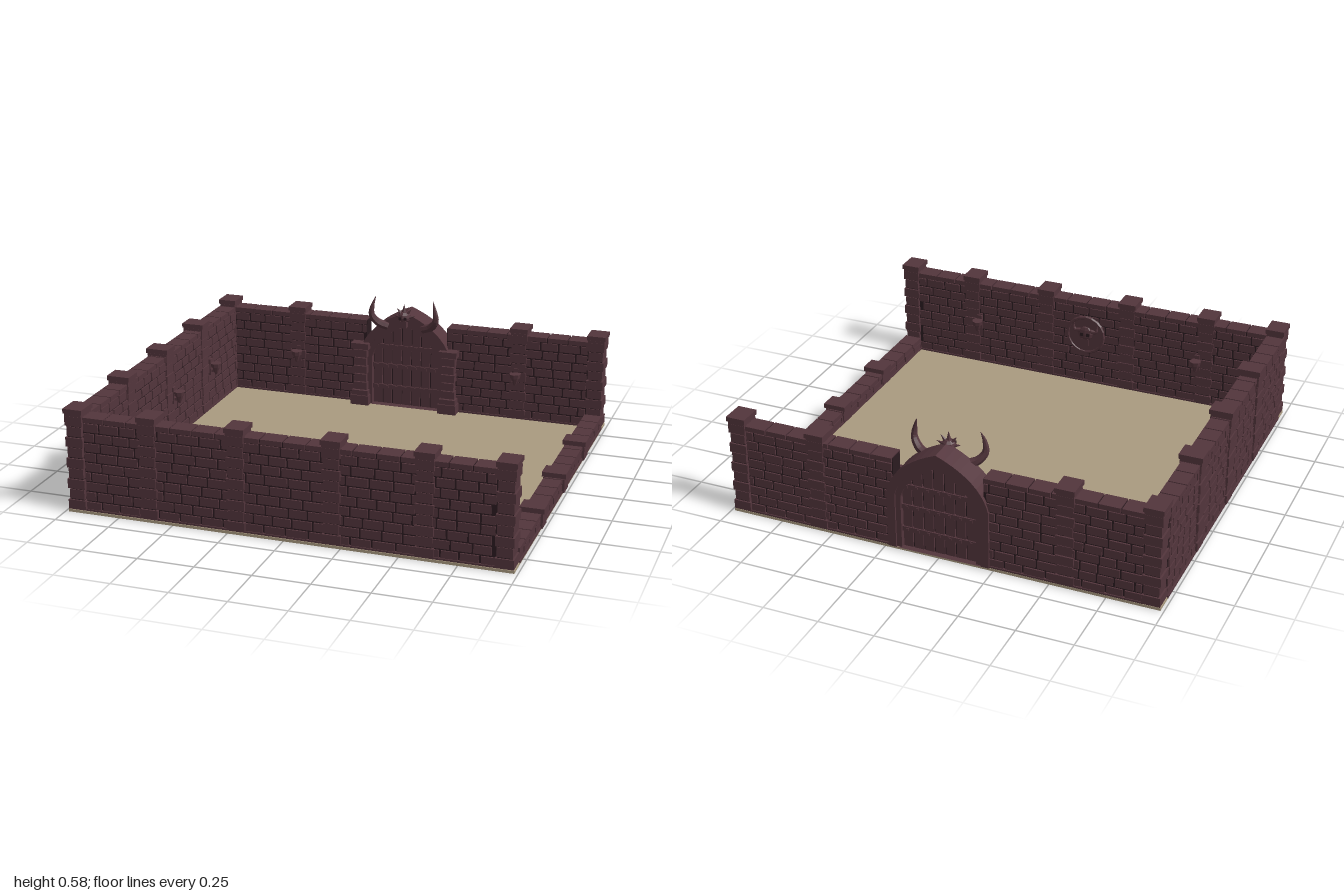
import * as THREE from 'three';
import { mergeGeometries } from 'three/addons/utils/BufferGeometryUtils.js';

const stone = new THREE.MeshStandardMaterial({ color: 0x53353c, flatShading: true });
stone.name = 'stone';
const mortar = new THREE.MeshStandardMaterial({ color: 0x2b1b20 });
mortar.name = 'mortar';
const sand = new THREE.MeshStandardMaterial({ color: 0xaa9a80 });
sand.name = 'sand';

let seed = 7;
const rnd = () => (seed = (seed * 16807) % 2147483647) / 2147483647;

// box given by its centre in x and z, and its bottom and top
const box = (w, d, y0, y1, x = 0, z = 0) =>
  new THREE.BoxGeometry(w, y1 - y0, d).translate(x, (y0 + y1) / 2, z);

function add(parent, name, geos, mat = stone) {
  const list = [].concat(geos);
  const mesh = new THREE.Mesh(list.length > 1 ? mergeGeometries(list) : list[0], mat);
  mesh.name = name;
  parent.add(mesh);
  return mesh;
}

function group(parent, name, x = 0, y = 0, z = 0, turn = 0) {
  const g = new THREE.Group();
  g.name = name;
  g.position.set(x, y, z);
  g.rotation.y = turn;
  parent.add(g);
  return g;
}

// one run of brickwork along x, from x0 to x1
function wallRun(parent, x0, x1, height) {
  const bricks = [], coping = [];
  const rows = Math.max(1, Math.round((height - 0.035) / 0.045));
  const rowH = (height - 0.035) / rows, len = x1 - x0, mid = (x0 + x1) / 2;
  add(parent, 'mortarCore', box(len, 0.066, 0.01, height - 0.004, mid), mortar);
  for (let r = 0; r < rows; r++) {
    const y = 0.012 + r * rowH;
    let x = x0 - (r % 2 ? 0.045 : 0);
    while (x < x1 - 0.01) {
      const w = 0.075 + rnd() * 0.03;
      const a = Math.max(x, x0), b = Math.min(x + w, x1);
      if (b - a > 0.02) bricks.push(box(b - a - 0.009, 0.077 + rnd() * 0.005, y + 0.004, y + rowH - 0.004, (a + b) / 2));
      x += w;
    }
  }
  const n = Math.round(len / 0.098);
  for (let i = 0; i < n; i++)
    coping.push(box(len / n - 0.006, 0.083, height - 0.022, height, x0 + (i + 0.5) * len / n));
  add(parent, 'bricks', bricks);
  add(parent, 'copingStones', coping);
  add(parent, 'plinth', box(len, 0.088, 0.008, 0.02, mid));
}

// pillar of alternating wide and narrow blocks under a stepped cap
function pillar(parent, name, x, z, turn = 0) {
  const g = group(parent, name, x, 0, z, turn), blocks = [];
  for (let i = 0; i < 9; i++) {
    const y = 0.012 + i * 0.0475, wide = i % 2 === 0;
    blocks.push(box(wide ? 0.08 : 0.068, wide ? 0.096 : 0.088, y + 0.003, y + 0.0455));
  }
  add(g, 'joints', box(0.062, 0.08, 0.01, 0.44), mortar);
  add(g, 'blocks', blocks);
  add(g, 'cap', [box(0.078, 0.096, 0.438, 0.449), box(0.088, 0.106, 0.451, 0.472)]);
}

function curbPost(parent, x, z) {
  add(parent, 'curbPost', [box(0.096, 0.076, 0.01, 0.075, x, z), box(0.108, 0.085, 0.078, 0.1, x, z)]);
}

// wall bracket with a bowl, reaching out along local +z
function torch(parent, x, z, turn) {
  const g = group(parent, 'torch', x, 0, z, turn);
  add(g, 'bracket', [box(0.026, 0.01, 0.19, 0.27, 0, 0.004), box(0.012, 0.035, 0.205, 0.218, 0, 0.017)]);
  const cup = (rt, rb, y0, y1) => new THREE.CylinderGeometry(rt, rb, y1 - y0, 8).translate(0, (y0 + y1) / 2, 0.032);
  add(g, 'bowl', [cup(0.02, 0.006, 0.195, 0.232), cup(0.028, 0.024, 0.232, 0.252)]);
}

// tapered tube that runs along the given points to a sharp tip
function hornGeometry(points, radius) {
  const curve = new THREE.CatmullRomCurve3(points.map(p => new THREE.Vector3(...p)));
  const segs = 14, sides = 7, geo = new THREE.TubeGeometry(curve, segs, radius, sides);
  const pos = geo.attributes.position, v = new THREE.Vector3();
  for (let i = 0; i < pos.count; i++) {
    const t = Math.floor(i / (sides + 1)) / segs, c = curve.getPointAt(t);
    v.fromBufferAttribute(pos, i).sub(c).multiplyScalar(1 - 0.97 * t * t).add(c);
    pos.setXYZ(i, v.x, v.y, v.z);
  }
  geo.computeVertexNormals();
  return geo;
}

// pointed arch outline with given half width, spring height and peak
function archPath(p, w, spring, peak) {
  p.moveTo(-w, 0.012);
  p.lineTo(w, 0.012);
  p.lineTo(w, spring);
  p.quadraticCurveTo(w * 0.87, peak - 0.08, 0, peak);
  p.quadraticCurveTo(-w * 0.87, peak - 0.08, -w, spring);
  p.closePath();
  return p;
}
const extrude = (shape, z0, z1) =>
  new THREE.ExtrudeGeometry(shape, { depth: z1 - z0, bevelEnabled: false, curveSegments: 10 }).translate(0, 0, z0);

function buildGate(root) {
  const g = group(root, 'gate');
  const ring = (w, s, p, w2, s2, p2) => {
    const shape = archPath(new THREE.Shape(), w, s, p);
    shape.holes.push(archPath(new THREE.Path(), w2, s2, p2));
    return shape;
  };
  add(g, 'outerArch', extrude(ring(0.232, 0.28, 0.502, 0.195, 0.27, 0.462), -0.905, -0.79));
  add(g, 'innerArch', extrude(ring(0.197, 0.272, 0.464, 0.172, 0.26, 0.435), -0.896, -0.80));
  add(g, 'doorCore', extrude(archPath(new THREE.Shape(), 0.18, 0.265, 0.445), -0.873, -0.832), mortar);

  // planks follow the arch; bands and studs sit on both faces
  const planks = [], bands = [];
  for (let i = -3; i <= 3; i++) {
    const x = i * 0.049;
    planks.push(box(0.042, 0.058, 0.014, 0.425 - Math.pow(Math.abs(x) / 0.17, 1.5) * 0.10, x, -0.852));
  }
  for (const y of [0.09, 0.20, 0.30]) {
    bands.push(box(0.345, 0.07, y, y + 0.022, 0, -0.852));
    for (let i = -3; i <= 3; i++) bands.push(box(0.012, 0.078, y + 0.005, y + 0.017, i * 0.049, -0.852));
  }
  add(g, 'planks', planks);
  add(g, 'bands', bands);

  for (const s of [-1, 1]) {
    // side columns
    const col = [box(0.092, 0.06, 0.01, 0.06, s * 0.225, -0.788), box(0.082, 0.05, 0.06, 0.085, s * 0.225, -0.79)];
    for (let i = 0; i < 5; i++) col.push(box(i % 2 ? 0.06 : 0.068, 0.04, 0.088 + i * 0.042, 0.126 + i * 0.042, s * 0.225, -0.793));
    col.push(box(0.09, 0.056, 0.30, 0.33, s * 0.225, -0.79));
    add(g, 'column', col);
    add(g, 'horn', hornGeometry([[s * 0.09, 0.425, -0.795], [s * 0.135, 0.445, -0.78], [s * 0.163, 0.485, -0.765],
      [s * 0.158, 0.535, -0.765], [s * 0.145, 0.578, -0.775]], 0.021));
  }

  // skull with a crown of spikes
  const skull = group(g, 'skull', 0, 0.485, -0.775);
  add(skull, 'head', new THREE.SphereGeometry(0.032, 8, 6).scale(1, 0.9, 1));
  add(skull, 'jaw', box(0.034, 0.035, -0.05, -0.015, 0, 0.008));
  const spikes = [[0, 0.045, 0], [0.024, 0.028, -0.7], [-0.024, 0.028, 0.7], [0.036, 0.004, -1.3], [-0.036, 0.004, 1.3]];
  add(skull, 'crownSpikes', spikes.map(([x, y, a]) =>
    new THREE.ConeGeometry(0.012, 0.042, 5).rotateZ(a).translate(x, y, 0)));
  for (const s of [-1, 1]) add(skull, 'eye', box(0.013, 0.006, -0.006, 0.006, s * 0.013, 0.03), mortar);
}

// round carved shield on the inner face of the front wall
function buildMedallion(root) {
  const g = group(root, 'medallion', 0, 0.27, 0.811, Math.PI);
  add(g, 'disc', new THREE.CylinderGeometry(0.092, 0.098, 0.012, 20).rotateX(Math.PI / 2).translate(0, 0, 0.003));
  add(g, 'rim', new THREE.TorusGeometry(0.092, 0.009, 6, 20).translate(0, 0, 0.006));
  add(g, 'face', [new THREE.SphereGeometry(0.038, 8, 6).scale(1, 1, 0.3).translate(0, 0.008, 0.009),
    box(0.036, 0.012, -0.055, -0.02, 0, 0.011)]);
  for (const s of [-1, 1]) {
    add(g, 'carvedHorn', hornGeometry([[s * 0.025, 0.025, 0.009], [s * 0.055, 0.025, 0.01], [s * 0.06, 0.06, 0.009]], 0.01));
    add(g, 'carvedEye', box(0.017, 0.004, -0.002, 0.014, s * 0.016, 0.02), mortar);
  }
}

export function createModel() {
  seed = 7;
  const root = new THREE.Group();
  root.name = 'walledCourtyard';

  // floor
  add(root, 'floor', box(1.97, 1.8, 0, 0.012), sand);

  // walls, with an opening for the gate at the back and a low curb on one side
  wallRun(group(root, 'frontWall', 0, 0, 0.852), -0.905, 0.905, 0.437);
  const back = group(root, 'backWall', 0, 0, -0.855);
  wallRun(back, -0.905, -0.205, 0.437);
  wallRun(back, 0.205, 0.905, 0.437);
  wallRun(group(root, 'rightWall', -0.945, 0, 0, Math.PI / 2), -0.815, 0.815, 0.437);
  wallRun(group(root, 'leftCurb', 0.943, 0, 0, Math.PI / 2), -0.815, 0.815, 0.075);

  // pillars
  for (const x of [-0.943, 0.943]) for (const z of [-0.854, 0.854]) pillar(root, 'cornerPillar', x, z);
  for (const x of [-0.607, -0.21, 0.21, 0.607]) pillar(root, 'frontPillar', x, 0.853);
  for (const x of [-0.567, 0.567]) pillar(root, 'backPillar', x, -0.854);
  for (const z of [-0.414, 0, 0.412]) {
    pillar(root, 'sidePillar', -0.946, z, Math.PI / 2);
    curbPost(root, 0.946, z);
  }

  // torches
  for (const z of [-0.472, -0.03, 0.415]) torch(root, -0.903, z, Math.PI / 2);
  for (const x of [-0.563, 0.56]) torch(root, x, -0.813, 0);
  for (const x of [-0.572, 0.567]) torch(root, x, 0.81, Math.PI);

  buildGate(root);
  buildMedallion(root);
  return root;
}
